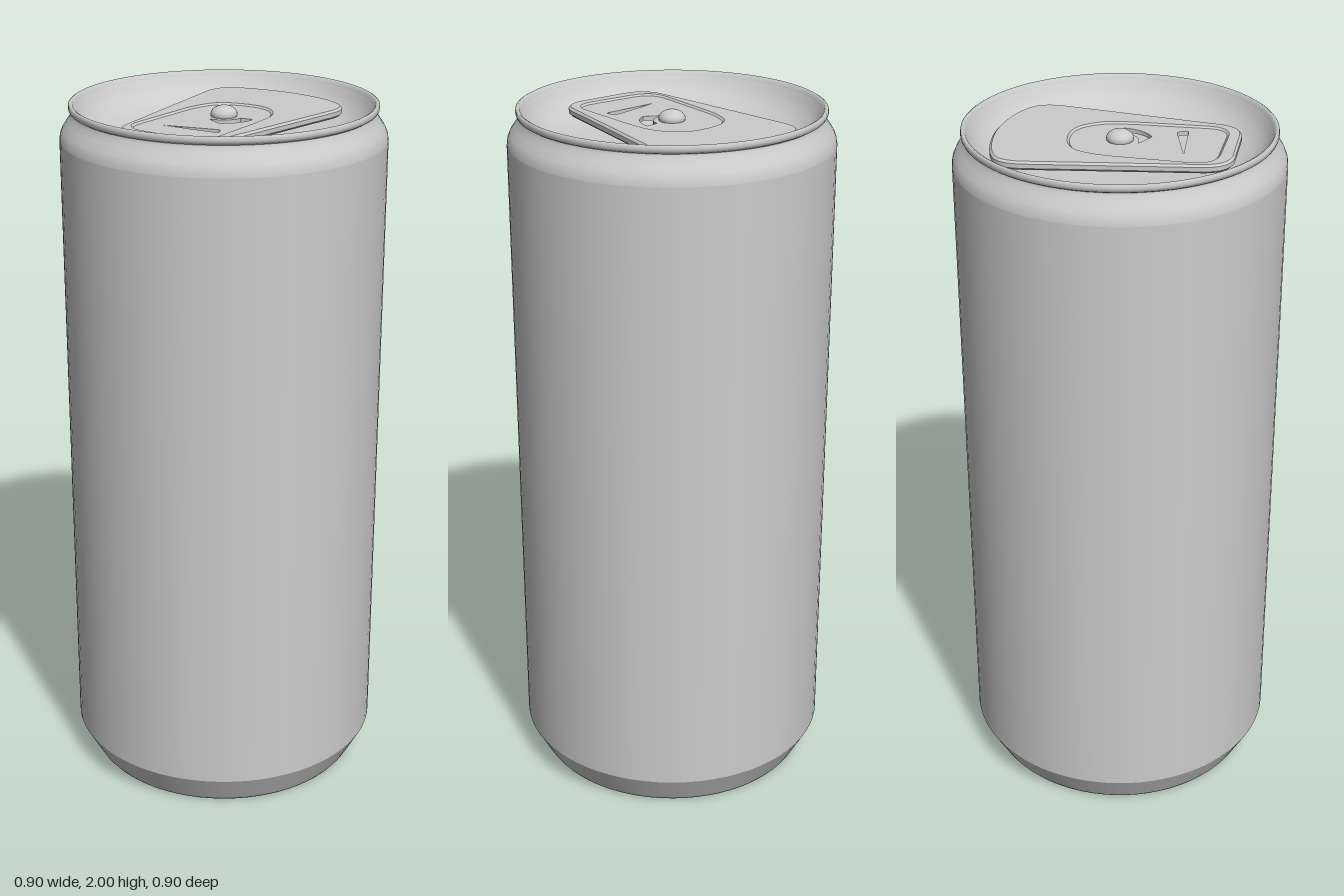
import * as THREE from 'three';

const material = new THREE.MeshStandardMaterial({ color: 0xcccccc });
const SIDES = 72;

function add(group, name, geometry) {
  const mesh = new THREE.Mesh(geometry, material);
  mesh.name = name;
  group.add(mesh);
  return mesh;
}

const v2 = (list) => list.map(([x, y]) => new THREE.Vector2(x, y));
const lathe = (list) => new THREE.LatheGeometry(v2(list), SIDES);

// Closed outline through [x, z, cornerRadius] corners, each corner rounded.
function roundedOutline(corners, PathType = THREE.Shape) {
  const path = new PathType();
  const n = corners.length;
  corners.forEach(([x, z, r], i) => {
    const p = new THREE.Vector2(x, z);
    const toward = ([a, b]) => {
      const d = new THREE.Vector2(a, b).sub(p);
      return p.clone().addScaledVector(d, Math.min(r / d.length(), 0.5));
    };
    const a = toward(corners[(i + n - 1) % n]);
    const b = toward(corners[(i + 1) % n]);
    if (i === 0) path.moveTo(a.x, a.y);
    else path.lineTo(a.x, a.y);
    path.quadraticCurveTo(x, z, b.x, b.y);
  });
  path.closePath();
  return path;
}

// Flat plate lying in the xz plane, its top face at the given height.
function plate(shape, top, depth, bevel) {
  const geometry = new THREE.ExtrudeGeometry(shape, {
    depth: depth - 2 * bevel,
    bevelEnabled: bevel > 0,
    bevelThickness: bevel,
    bevelSize: bevel,
    bevelOffset: -bevel,
    bevelSegments: 1,
    curveSegments: 10,
  });
  geometry.rotateX(Math.PI / 2);
  geometry.translate(0, top - bevel, 0);
  return geometry;
}

export function createModel() {
  const can = new THREE.Group();
  can.name = 'drinkCan';

  // Domed underside and standing ring
  add(can, 'baseDome', lathe([
    [0, 0.1], [0.1, 0.094], [0.2, 0.077], [0.29, 0.05], [0.35, 0.022], [0.372, 0.006], [0.384, 0],
    [0.396, 0.004], [0.404, 0.014],
  ]));

  // Tapered foot, straight wall and shoulder
  add(can, 'foot', lathe([[0.404, 0.014], [0.451, 0.1]]));
  add(can, 'wall', lathe([[0.451, 0.1], [0.451, 1.0], [0.451, 1.9]]));
  add(can, 'shoulder', lathe([
    [0.451, 1.9], [0.449, 1.915], [0.442, 1.931], [0.428, 1.951], [0.417, 1.967], [0.415, 1.976],
  ]));

  // Rolled rim
  add(can, 'rim', lathe([
    [0.415, 1.976], [0.422, 1.98], [0.425, 1.988], [0.424, 1.997], [0.419, 2], [0.413, 1.997], [0.408, 1.986],
  ]));

  // Dished lid
  const dish = new THREE.SplineCurve(v2([
    [0.408, 1.986], [0.385, 1.954], [0.345, 1.925], [0.28, 1.904], [0.15, 1.89], [0, 1.886],
  ]));
  add(can, 'lid', new THREE.LatheGeometry(dish.getPoints(20), SIDES));

  // Pull tab: asymmetric frame around a recessed panel
  const tab = new THREE.Group();
  tab.name = 'pullTab';
  can.add(tab);

  const frame = roundedOutline([
    [-0.18, -0.31, 0.07], [-0.1, -0.345, 0.06], [0.06, -0.345, 0.1], [0.2, -0.295, 0.06],
    [0.272, -0.225, 0.07], [0.1, 0.335, 0.07], [-0.19, 0.295, 0.08],
  ]);
  const panelCorners = [
    [-0.115, -0.06, 0.05], [-0.07, -0.135, 0.07], [0.065, -0.135, 0.08], [0.12, -0.06, 0.07],
    [0.12, 0.02, 0.04], [0.085, 0.295, 0.06], [-0.175, 0.25, 0.07],
  ];
  frame.holes.push(roundedOutline(panelCorners, THREE.Path));
  add(tab, 'tabFrame', plate(frame, 1.962, 0.024, 0.006));

  // Panel with a narrow slot and a curved cut beside the rivet
  const panel = roundedOutline(panelCorners);
  panel.holes.push(roundedOutline([
    [-0.1, 0.17, 0.002], [0.064, 0.152, 0.012], [0.074, 0.184, 0.012],
  ], THREE.Path));
  const cut = new THREE.Path();
  cut.moveTo(0.09, 0.005);
  cut.quadraticCurveTo(0.08, 0.065, 0.026, 0.085);
  cut.lineTo(-0.022, 0.05);
  cut.quadraticCurveTo(0.04, 0.058, 0.053, 0.005);
  cut.closePath();
  panel.holes.push(cut);
  add(tab, 'tabPanel', plate(panel, 1.957, 0.012, 0));

  // Rivet holding the tab to the lid
  const post = add(tab, 'rivetPost', new THREE.CylinderGeometry(0.03, 0.03, 0.08, 24));
  post.position.y = 1.922;
  const head = add(tab, 'rivetHead', new THREE.SphereGeometry(0.037, 24, 16));
  head.scale.y = 0.65;
  head.position.y = 1.963;

  return can;
}
